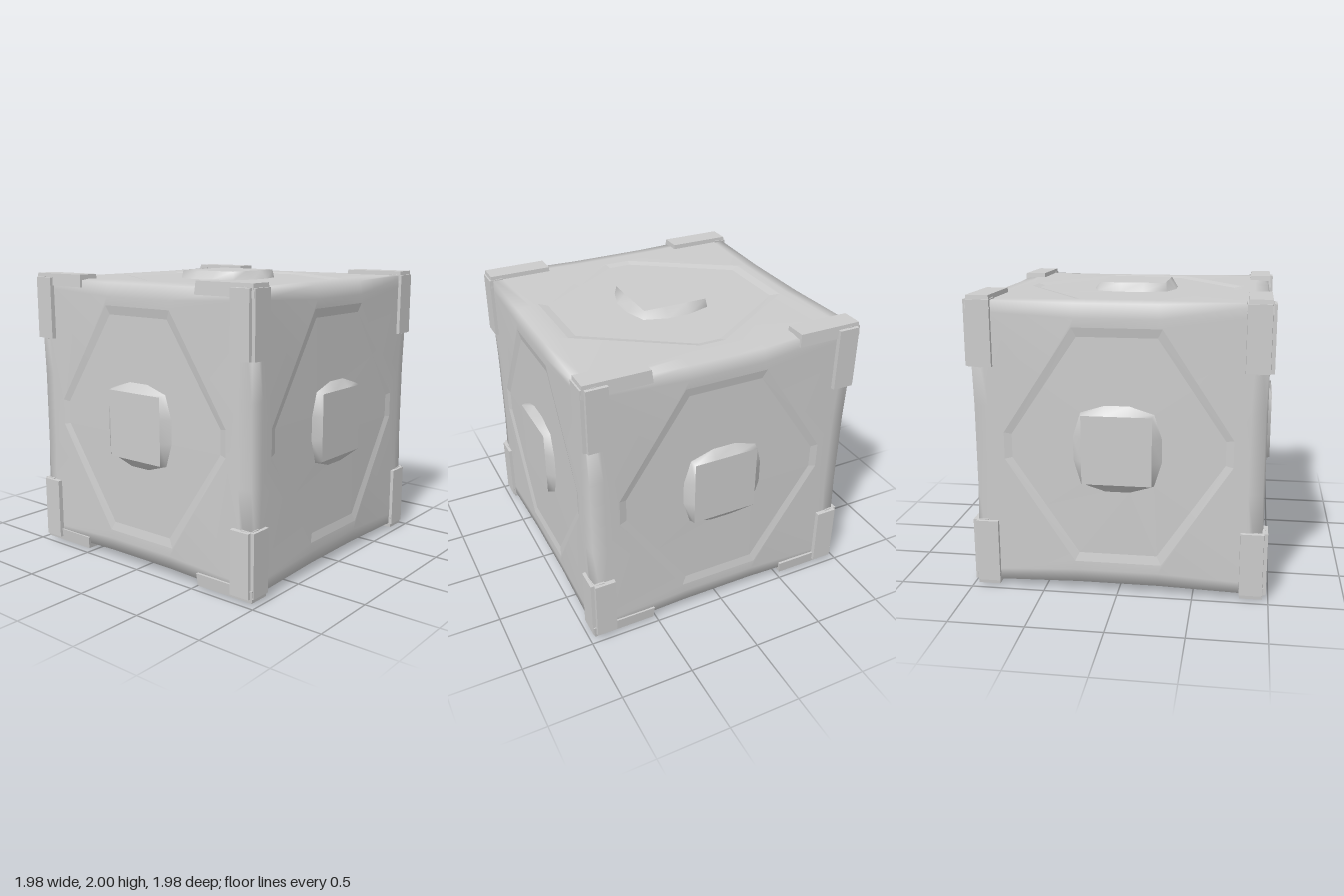
import * as THREE from 'three';
import { mergeGeometries, mergeVertices } from 'three/addons/utils/BufferGeometryUtils.js';

const smooth = new THREE.MeshStandardMaterial({ color: 0xcccccc });
const flat = new THREE.MeshStandardMaterial({ color: 0xcccccc, flatShading: true });

// Mirrors three points of one quadrant into a counter-clockwise ring of 12
function ring(pts) {
  const back = [...pts].reverse();
  return [
    ...pts,
    ...back.map(([x, y, z]) => [-x, y, z]),
    ...pts.map(([x, y, z]) => [-x, -y, z]),
    ...back.map(([x, y, z]) => [x, -y, z]),
  ];
}

// Skins a series of rings from the outermost inward, optionally closing the middle
function loft(sections, cap = false) {
  const rings = sections.map(ring);
  const n = rings[0].length;
  const pos = rings.flat(2);
  const idx = [];
  for (let r = 0; r < rings.length - 1; r++) {
    for (let i = 0; i < n; i++) {
      const a = r * n + i, b = r * n + (i + 1) % n;
      idx.push(a, b, b + n, a, b + n, a + n);
    }
  }
  if (cap) {
    const last = (rings.length - 1) * n;
    pos.push(0, 0, rings.at(-1)[0][2]);
    for (let i = 0; i < n; i++) idx.push(rings.length * n, last + i, last + (i + 1) % n);
  }
  const g = new THREE.BufferGeometry();
  g.setAttribute('position', new THREE.Float32BufferAttribute(pos, 3));
  g.setIndex(idx);
  g.computeVertexNormals();
  return g;
}

// Thin plate whose outward side (axis, sign) is slightly smaller than its base
function plate(min, max, axis, sign) {
  const size = max.map((v, i) => v - min[i]);
  const g = new THREE.BoxGeometry(...size);
  const p = g.attributes.position;
  for (let i = 0; i < p.count; i++) {
    const v = [p.getX(i), p.getY(i), p.getZ(i)];
    if (v[axis] * sign > 0) {
      for (let k = 0; k < 3; k++) if (k !== axis) v[k] -= Math.sign(v[k]) * 0.008;
    }
    p.setXYZ(i, ...v);
  }
  g.translate(...max.map((v, i) => (v + min[i]) / 2));
  return new THREE.Mesh(g, flat);
}

export function createModel() {
  const model = new THREE.Group();
  const cube = new THREE.Group();
  cube.name = 'cube';
  cube.position.y = 1;
  model.add(cube);

  // Profiles of one face, in the face's own frame with z pointing outward
  const edge = [[0.942, 0.27, 0.942], [0.955, 0.955, 0.955], [0.27, 0.942, 0.942]];
  const rim = [[0.85, 0.27, 0.955], [0.88, 0.88, 0.955], [0.27, 0.85, 0.955]];
  const grooveOuter = [[0.75, 0.09, 0.952], [0.52, 0.44, 0.952], [0.29, 0.79, 0.952]];
  const grooveInner = [[0.7, 0.08, 0.94], [0.48, 0.405, 0.94], [0.26, 0.73, 0.94]];
  const bossBase = [[0.29, 0.08, 0.942], [0.24, 0.24, 0.942], [0.08, 0.29, 0.942]];
  const bossTop = (h) => [[0.23, 0.08, h], [0.23, 0.23, h], [0.08, 0.23, h]];

  // Four sides, then top and bottom with the octagon turned a quarter
  const H = Math.PI / 2;
  const faces = [
    ['front', 0, 0, 0], ['left', 0, H, 0], ['back', 0, 2 * H, 0], ['right', 0, -H, 0],
    ['top', -H, 0, H], ['bottom', H, 0, H],
  ];
  const frames = [];
  for (const [name, rx, ry, rz] of faces) {
    const turn = new THREE.Matrix4().makeRotationFromEuler(new THREE.Euler(rx, ry, rz));
    const height = rx ? 1 : 0.99;
    frames.push(loft([edge, rim, grooveOuter]).applyMatrix4(turn));

    const panel = new THREE.Mesh(loft([grooveOuter, grooveInner, bossBase]).applyMatrix4(turn), flat);
    panel.name = name + 'Panel';
    const boss = new THREE.Mesh(loft([bossBase, bossTop(height)], false).applyMatrix4(turn), smooth);
    boss.name = name + 'BossFlare';
    const cap = new THREE.Mesh(loft([bossTop(height)], true).applyMatrix4(turn), flat);
    cap.name = name + 'BossCap';
    cube.add(panel, boss, cap);
  }

  // Body shell with soft edges shared between neighbouring faces
  frames.forEach((g) => g.deleteAttribute('normal'));
  const shell = mergeVertices(mergeGeometries(frames), 1e-3);
  shell.computeVertexNormals();
  const body = new THREE.Mesh(shell, smooth);
  body.name = 'body';
  cube.add(body);

  // Corner guards: two upright plates and one lying along x at every corner
  const plates = [
    ['frontPlate', [0.8, 0.52, 0.88], [0.96, 0.965, 0.985], 2],
    ['sidePlate', [0.88, 0.52, 0.8], [0.977, 0.965, 0.967], 0],
    ['capPlate', [0.515, 0.9, 0.805], [0.972, 0.985, 0.968], 1],
  ];
  for (const sx of [-1, 1]) for (const sy of [-1, 1]) for (const sz of [-1, 1]) {
    const guard = new THREE.Group();
    guard.name = 'cornerGuard';
    const s = [sx, sy, sz];
    for (const [name, a, b, axis] of plates) {
      const min = a.map((v, i) => Math.min(v * s[i], b[i] * s[i]));
      const max = a.map((v, i) => Math.max(v * s[i], b[i] * s[i]));
      const m = plate(min, max, axis, s[axis]);
      m.name = name;
      guard.add(m);
    }
    cube.add(guard);
  }
  return model;
}
